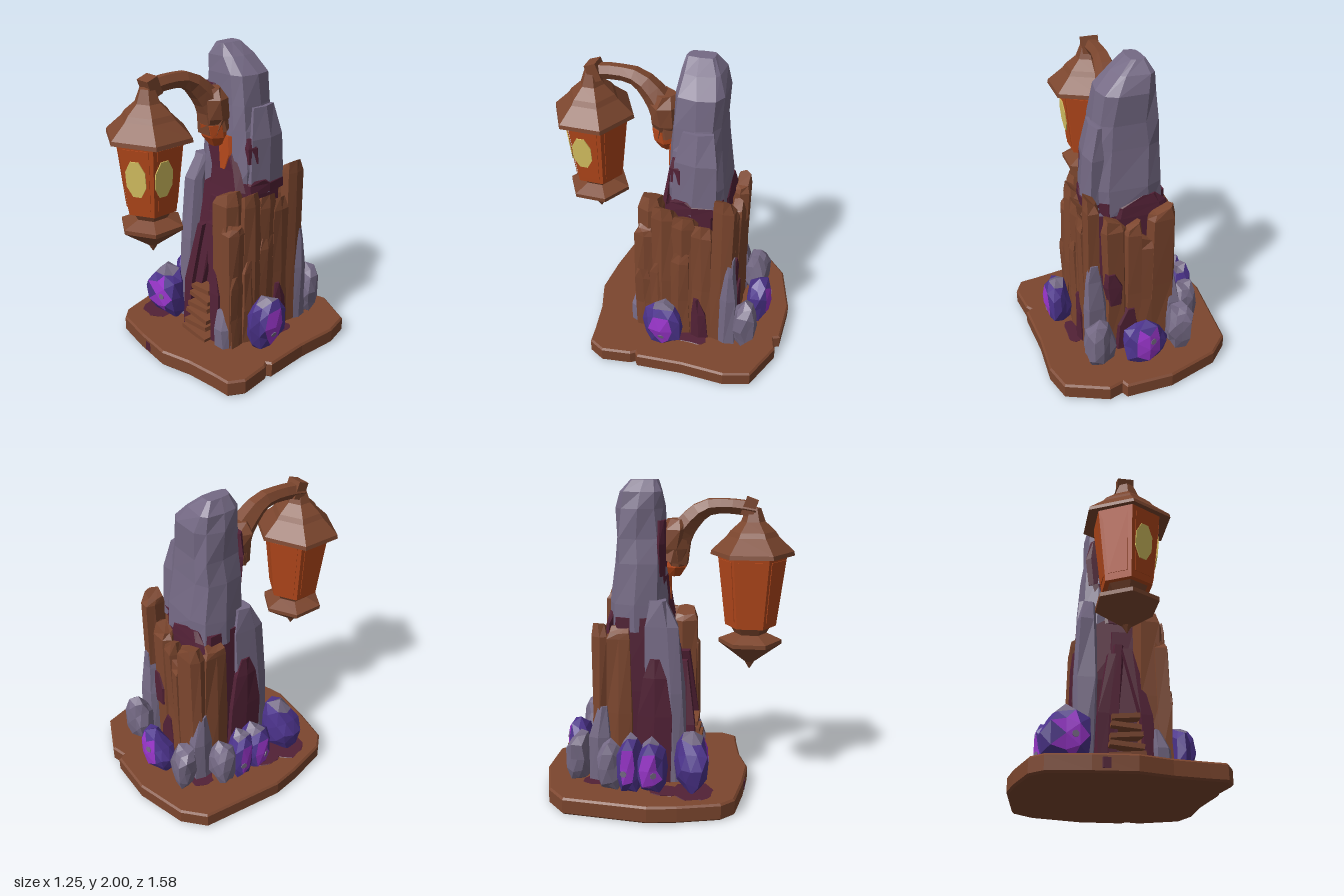
import * as THREE from 'three';

export function createModel() {
  const model = new THREE.Group();
  const mat = (name, color) => {
    const m = new THREE.MeshStandardMaterial({ color, flatShading: true });
    m.name = name;
    return m;
  };
  const wood = mat('wood', 0x7c462e);
  const stone = mat('stone', 0x756a85);
  const maroon = mat('dark maroon', 0x522136);
  const purple = mat('purple crystal', 0x4c338c);
  const magenta = mat('magenta crystal', 0x9a36cc);
  const orange = mat('orange glass', 0xb4481b);
  const yellow = mat('yellow light', 0xdcc664);

  let seed = 7;
  const rnd = () => {
    seed = (seed * 16807) % 2147483647;
    return seed / 2147483647 - 0.5;
  };
  const add = (name, geo, material, parent = model) => {
    const m = new THREE.Mesh(geo, material);
    m.name = name;
    parent.add(m);
    return m;
  };

  // Closed solid through rings of [y, centreX, centreZ, radiusX, radiusZ]; pow < 1 squares the section
  function loft(rings, n, jitter = 0, pow = 0.55, tilt = 0) {
    const pos = [], idx = [];
    const bend = v => Math.sign(v) * Math.abs(v) ** pow;
    rings.forEach(([y, cx, cz, rx, rz], i) => {
      for (let j = 0; j < n; j++) {
        const a = (j + 0.5) / n * Math.PI * 2;
        const sx = bend(Math.sin(a)), sz = bend(Math.cos(a));
        const dy = i === rings.length - 1 ? sx * tilt : 0;
        pos.push(cx + rx * sx + rnd() * jitter, y + dy, cz + rz * sz + rnd() * jitter);
      }
    });
    for (let i = 0; i < rings.length - 1; i++) {
      for (let j = 0; j < n; j++) {
        const a = i * n + j, b = i * n + (j + 1) % n;
        idx.push(a, b, b + n, a, b + n, a + n);
      }
    }
    const top = (rings.length - 1) * n;
    for (let j = 1; j < n - 1; j++) idx.push(top, top + j, top + j + 1, 0, j + 1, j);
    const g = new THREE.BufferGeometry();
    g.setAttribute('position', new THREE.Float32BufferAttribute(pos, 3));
    g.setIndex(idx);
    const flat = g.toNonIndexed();
    flat.computeVertexNormals();
    return flat;
  }

  // Base slab
  const outline = [[-0.58, -0.57], [-0.45, -0.69], [-0.12, -0.785], [0.18, -0.78], [0.2, -0.74], [0.29, -0.765],
    [0.55, -0.65], [0.6, -0.48], [0.59, -0.2], [0.61, 0.1], [0.58, 0.12], [0.6, 0.15], [0.625, 0.34], [0.57, 0.44],
    [0.46, 0.45], [0.25, 0.48], [0.05, 0.54], [-0.2, 0.52], [-0.45, 0.48], [-0.53, 0.4], [-0.6, 0.14], [-0.63, -0.04]];
  const baseGeo = new THREE.ExtrudeGeometry(new THREE.Shape(outline.map(([x, z]) => new THREE.Vector2(x, -z))),
    { depth: 0.085, bevelThickness: 0.012, bevelSize: 0.012, bevelOffset: -0.012, bevelSegments: 1 });
  baseGeo.rotateX(-Math.PI / 2).translate(0, 0.012, 0);
  add('base', baseGeo, wood);
  for (const [x, z, rx, rz] of [[-0.39, 0.21, 0.125, 0.135], [-0.4, 0.04, 0.08, 0.1], [0.36, -0.2, 0.05, 0.12], [-0.29, -0.42, 0.07, 0.08]])
    add('groundStain', loft([[0.104, x, z, rx, rz], [0.112, x, z, rx, rz]], 9, 0.03, 1), maroon);
  add('edgeStain', loft([[0.025, -0.12, 0.52, 0.03, 0.012], [0.085, -0.12, 0.52, 0.03, 0.012]], 6), maroon);

  // Inner core and standing stone
  add('core', loft([[0.1, 0, -0.14, 0.25, 0.25], [0.7, 0, -0.14, 0.245, 0.24], [1.17, 0.01, -0.16, 0.235, 0.19]], 8, 0.02), maroon);
  add('standingStone', loft([[1.08, 0.01, -0.165, 0.235, 0.185], [1.25, 0.02, -0.16, 0.24, 0.18], [1.5, 0.005, -0.155, 0.22, 0.155],
    [1.65, 0, -0.155, 0.195, 0.15], [1.83, -0.015, -0.155, 0.175, 0.145], [1.93, -0.055, -0.14, 0.12, 0.125],
    [2, -0.075, -0.125, 0.045, 0.085]], 10, 0.02), stone);
  add('stoneShoulder', loft([[1.1, 0.2, -0.17, 0.075, 0.15], [1.45, 0.19, -0.18, 0.065, 0.13], [1.64, 0.17, -0.18, 0.04, 0.09]], 6, 0.02), stone);
  add('leftStone', loft([[0.1, -0.19, 0.02, 0.08, 0.14], [0.7, -0.19, 0.01, 0.078, 0.135], [1.12, -0.185, -0.01, 0.068, 0.11],
    [1.28, -0.18, -0.03, 0.05, 0.06]], 7, 0.02), stone);
  add('backStone', loft([[0.1, 0.27, -0.43, 0.08, 0.07], [0.5, 0.27, -0.425, 0.075, 0.055], [0.7, 0.28, -0.42, 0.06, 0.045],
    [0.82, 0.28, -0.42, 0.03, 0.03]], 6, 0.02), stone);
  add('cornerStone', loft([[0.1, -0.25, -0.39, 0.06, 0.08], [0.4, -0.25, -0.39, 0.05, 0.07], [0.6, -0.24, -0.37, 0.025, 0.03]], 6, 0.02), stone);

  // Dark stains on stone and wood
  const stains = [
    [[1.12, 0.07, 0, 0.17, 0.04], [1.24, 0.05, 0, 0.14, 0.025], [1.42, -0.03, 0, 0.12, 0.014]],
    [[1.42, -0.07, -0.02, 0.1, 0.032], [1.62, -0.09, -0.02, 0.1, 0.03], [1.76, -0.1, -0.02, 0.06, 0.026]],
    [[1.3, 0.2, -0.09, 0.055, 0.065], [1.4, 0.2, -0.08, 0.053, 0.06], [1.46, 0.19, -0.06, 0.035, 0.03]],
    [[1.1, 0.2, -0.17, 0.082, 0.155], [1.16, 0.2, -0.17, 0.08, 0.153], [1.19, 0.2, -0.12, 0.076, 0.08]],
    [[0.1, 0.3, -0.25, 0.045, 0.065], [0.32, 0.3, -0.24, 0.045, 0.05], [0.45, 0.3, -0.22, 0.04, 0.015]],
    [[1.06, -0.05, -0.33, 0.19, 0.035], [1.13, -0.05, -0.33, 0.17, 0.028], [1.19, -0.1, -0.325, 0.05, 0.02]],
    [[0.48, 0.14, -0.42, 0.05, 0.035], [0.62, 0.15, -0.42, 0.065, 0.033], [0.72, 0.17, -0.42, 0.03, 0.03]],
    [[0.1, 0.06, -0.42, 0.1, 0.045], [0.3, 0.06, -0.42, 0.08, 0.04], [0.42, 0.04, -0.42, 0.03, 0.035]],
    [[0.1, -0.24, -0.06, 0.045, 0.13], [0.55, -0.24, -0.04, 0.043, 0.12], [0.8, -0.235, -0.04, 0.04, 0.08], [0.92, -0.235, -0.04, 0.03, 0.03]],
  ];
  for (const rings of stains) add('stain', loft(rings, 6, 0.006), maroon);

  // Rough planks: x, z, half width, half depth, height
  const planks = [
    [0.2, 0.1, 0.09, 0.085, 1.16], [0.27, 0.13, 0.055, 0.07, 0.98], [0.28, 0.0, 0.05, 0.08, 1.14],
    [0.28, -0.13, 0.05, 0.085, 1.1], [0.28, -0.25, 0.045, 0.07, 1.05], [0.28, -0.38, 0.05, 0.07, 1.27],
    [0.3, 0.03, 0.035, 0.06, 0.7], [0.3, -0.11, 0.035, 0.07, 0.82], [0.3, 0.14, 0.035, 0.05, 0.62],
    [0.14, -0.39, 0.075, 0.05, 1.1], [0.02, -0.4, 0.065, 0.05, 1.06], [-0.17, -0.39, 0.1, 0.06, 1.13],
    [-0.06, -0.41, 0.055, 0.045, 0.95], [-0.235, -0.27, 0.035, 0.085, 1.12],
  ];
  for (const [x, z, w, d, h] of planks)
    add('plank', loft([[0.1, x, z, w * 1.05, d * 1.1], [h * 0.5, x + rnd() * 0.02, z, w, d], [h - 0.08, x, z, w * 0.97, d * 0.97],
      [h - 0.02, x, z + rnd() * 0.03, w * 0.75, d * 0.7]], 6, 0.018, 0.5, rnd() > 0 ? 0.025 : -0.025), wood);

  // Dark doorway with a leaning frame and steps
  const posts = [
    [-0.11, -0.04, 0.17, 0.04, 0.86], [0.19, 0.06, 0.17, 0.045, 0.9], [0.05, 0.04, 0.09, 0.12, 1.05], [-0.06, 0.02, 0.13, 0.05, 0.95],
  ];
  for (const [x0, x1, z, w, h] of posts)
    add('doorPost', loft([[0.1, x0, z, w, 0.05], [0.45, x0 * 0.8 + x1 * 0.2, z - 0.01, w, 0.045], [h, x1, z - 0.06, w * 0.7, 0.03]], 5, 0.02), maroon);
  for (let i = 0; i < 6; i++) {
    const step = add('step', new THREE.BoxGeometry(0.23 - i * 0.012, 0.03, 0.1), wood);
    step.position.set(0.04, 0.125 + i * 0.062, 0.22 - i * 0.012);
    step.rotation.z = (i % 2 ? 1 : -1) * 0.09;
  }

  // Faceted rocks and crystals: faces turned to dir take the second material, the top the third
  const up = new THREE.Vector3(0, 1, 0);
  function gem(name, centre, size, dir, materials, limit = 0.8) {
    const g = new THREE.IcosahedronGeometry(1, 1);
    const p = g.attributes.position, v = new THREE.Vector3(), c = new THREE.Vector3();
    const d = new THREE.Vector3(...dir).normalize();
    const fill = n => Math.sign(n) * Math.abs(n) ** 0.85;
    let best = 0, bestDot = 0;
    for (let f = 0; f < p.count; f += 3) {
      c.set(0, 0, 0);
      for (let k = 0; k < 3; k++) c.add(v.fromBufferAttribute(p, f + k));
      c.normalize();
      const dot = c.dot(d);
      if (dot > bestDot) [best, bestDot] = [f, dot];
      g.addGroup(f, 3, dot > limit ? 1 : c.y > 0.88 ? 2 : 0);
    }
    for (let i = 0; i < p.count; i++) {
      v.fromBufferAttribute(p, i);
      const s = 0.97 + 0.13 * Math.sin(Math.round(v.x * 50) * 1.7 + Math.round(v.y * 50) * 2.3 + Math.round(v.z * 50) * 3.1 + centre[0] * 40);
      p.setXYZ(i, fill(v.x) * s, Math.max(fill(v.y) * s, -1), fill(v.z) * s);
    }
    g.scale(...size).translate(...centre);
    g.computeVertexNormals();
    add(name, g, materials);
    if (materials[0] === materials[1]) return;
    // Small grey fleck in the middle of the bright facet
    const fleck = add('fleck', new THREE.CylinderGeometry(0.022, 0.022, 0.008, 6), stone);
    for (let k = 0; k < 3; k++) fleck.position.addScaledVector(v.fromBufferAttribute(p, best + k), 1 / 3);
    fleck.quaternion.setFromUnitVectors(up, v.fromBufferAttribute(g.attributes.normal, best));
  }
  const gemMats = [purple, magenta, stone], pureMats = [purple, magenta, purple], rockMats = [stone, stone, stone];
  gem('frontCrystal', [-0.32, 0.28, 0.21], [0.155, 0.19, 0.11], [0.3, 0, 1], gemMats);
  gem('rightCrystal', [0.42, 0.27, -0.03], [0.083, 0.19, 0.135], [1, -0.1, 0], gemMats);
  gem('leftCrystal', [-0.385, 0.27, -0.05], [0.1, 0.18, 0.1], [-1, -0.1, 0.1], gemMats);
  gem('leftCrystal', [-0.4, 0.28, -0.18], [0.085, 0.2, 0.085], [-1, -0.1, -0.1], gemMats, 0.88);
  gem('backCrystal', [-0.01, 0.25, -0.58], [0.145, 0.16, 0.085], [0, 0.2, -1], pureMats);
  gem('rock', [0.28, 0.28, -0.54], [0.095, 0.19, 0.085], [0, 1, 0], rockMats);
  gem('rock', [-0.26, 0.26, -0.53], [0.095, 0.17, 0.085], [0, 1, 0], rockMats);
  gem('rock', [-0.385, 0.26, -0.31], [0.085, 0.17, 0.09], [0, 1, 0], rockMats);
  add('frontRock', loft([[0.1, 0.25, 0.19, 0.06, 0.045], [0.24, 0.25, 0.19, 0.06, 0.05], [0.36, 0.22, 0.18, 0.025, 0.025]], 6, 0.02), stone);

  // Curved arm: a tube whose thickness changes along its length
  const path = new THREE.CatmullRomCurve3([[0, 1.5, 0.04], [0.0, 1.65, 0.08], [-0.01, 1.76, 0.16], [-0.015, 1.83, 0.25],
    [-0.02, 1.84, 0.42], [-0.02, 1.82, 0.55]].map(q => new THREE.Vector3(...q)));
  const steps = 10, sides = 6;
  const armGeo = new THREE.TubeGeometry(path, steps, 1, sides);
  const ap = armGeo.attributes.position, q = new THREE.Vector3();
  for (let i = 0; i < ap.count; i++) {
    const t = Math.floor(i / (sides + 1)) / steps, centre = path.getPointAt(t);
    q.fromBufferAttribute(ap, i).sub(centre).multiplyScalar(0.05 + 0.06 * Math.max(0, 1 - t * 1.5)).add(centre);
    ap.setXYZ(i, q.x, q.y, q.z);
  }
  add('arm', armGeo, wood);
  add('armRoot', loft([[1.47, 0, 0.07, 0.07, 0.06], [1.58, 0, 0.06, 0.11, 0.09], [1.7, 0, 0.06, 0.11, 0.085], [1.76, 0, 0.07, 0.06, 0.05]], 7, 0.03, 0.8), wood);
  add('armGlow', loft([[1.4, 0.02, 0.05, 0.04, 0.04], [1.46, 0.02, 0.06, 0.085, 0.07], [1.54, 0.02, 0.07, 0.08, 0.08]], 6, 0.01, 0.9), orange);
  add('stoneGlow', loft([[1.24, 0.05, 0, 0.03, 0.028], [1.34, 0.06, 0, 0.06, 0.024], [1.46, 0.05, 0, 0.07, 0.02]], 6, 0.006), orange);

  // Six-sided hanging lantern
  const lantern = new THREE.Group();
  lantern.name = 'lantern';
  lantern.position.set(-0.01, 0, 0.535);
  model.add(lantern);
  const hex = (name, pts, material) =>
    add(name, new THREE.LatheGeometry(pts.map(([r, y]) => new THREE.Vector2(r, y)), 6), material, lantern);
  const roof = hex('roof', [[0, 1.56], [0.2, 1.56], [0.26, 1.545], [0.255, 1.57], [0.16, 1.66], [0.14, 1.69], [0.075, 1.75], [0.045, 1.83], [0, 1.84]], wood);
  roof.scale.x = 1.1;
  hex('glassBody', [[0, 1.09], [0.16, 1.1], [0.215, 1.56], [0, 1.56]], orange);
  hex('foot', [[0, 0.81], [0.03, 0.86], [0.2, 0.985], [0.2, 1.01], [0.1, 1.05], [0.13, 1.1], [0.16, 1.12], [0, 1.12]], wood);
  const knob = add('hook', new THREE.BoxGeometry(0.1, 0.11, 0.075), wood, lantern);
  knob.position.set(-0.005, 1.835, -0.025);
  knob.rotation.x = 0.35;

  // Glass panes, two with a yellow light
  const paneShape = new THREE.Shape([[-0.06, -0.19], [0.06, -0.19], [0.08, 0.19], [-0.08, 0.19]].map(c => new THREE.Vector2(...c)));
  const paneGeo = new THREE.ExtrudeGeometry(paneShape, { depth: 0.004, bevelEnabled: false });
  const lightGeo = new THREE.CylinderGeometry(1, 1, 0.006, 8).rotateX(Math.PI / 2).rotateZ(Math.PI / 8).scale(0.066, 0.12, 1);
  for (let i = 0; i < 6; i++) {
    const side = new THREE.Group();
    side.name = 'lanternSide';
    side.rotation.y = Math.PI / 6 + i * Math.PI / 3;
    lantern.add(side);
    const pane = add('pane', paneGeo, orange, side);
    pane.position.set(0, 1.33, 0.165);
    pane.rotation.x = 0.103;
    if (i < 2) {
      const light = add('light', lightGeo, yellow, side);
      light.position.set(i ? -0.03 : -0.012, 1.34, 0.173);
      light.rotation.x = 0.103;
    }
  }
  return model;
}
